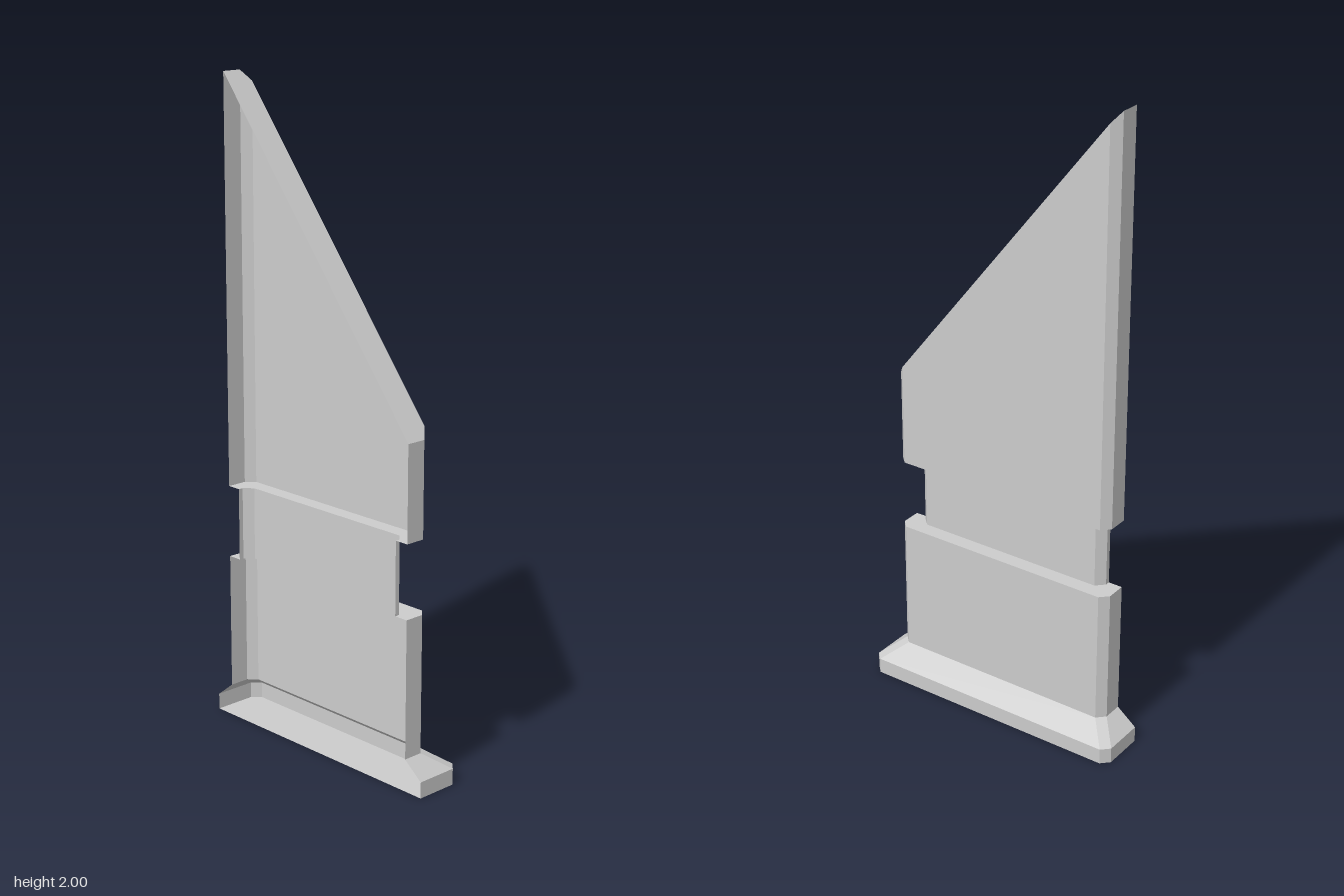
import * as THREE from 'three';

const BACK = -0.08; // x of the open side
const CHAMFER = 0.025;
const material = new THREE.MeshStandardMaterial({ color: 0xcccccc, flatShading: true, side: THREE.DoubleSide });

// Open outline with two chamfered corners, running from front to back round the +x side
function outline(outerX, halfZ, height) {
  const c = CHAMFER;
  return [
    [BACK, halfZ], [outerX - c, halfZ], [outerX, halfZ - c],
    [outerX, -halfZ + c], [outerX - c, -halfZ], [BACK, -halfZ],
  ].map(([x, z]) => new THREE.Vector3(x, typeof height === 'function' ? height(z) : height, z));
}

function meshFrom(name, triangles) {
  const geometry = new THREE.BufferGeometry().setFromPoints(triangles);
  geometry.computeVertexNormals();
  const mesh = new THREE.Mesh(geometry, material);
  mesh.name = name;
  return mesh;
}

// Wall skinned between successive outlines
function wall(name, rings) {
  const tris = [];
  for (let r = 0; r < rings.length - 1; r++) {
    const low = rings[r], high = rings[r + 1];
    for (let i = 0; i < low.length - 1; i++) {
      tris.push(low[i], low[i + 1], high[i + 1], low[i], high[i + 1], high[i]);
    }
  }
  return meshFrom(name, tris);
}

// Flat cap filling an outline
function cap(name, ring, faceUp) {
  const tris = [];
  for (let i = 1; i < ring.length - 1; i++) {
    tris.push(ring[0], ...(faceUp ? [ring[i], ring[i + 1]] : [ring[i + 1], ring[i]]));
  }
  return meshFrom(name, tris);
}

export function createModel() {
  const group = new THREE.Group();
  group.name = 'slantedPanel';

  const base = (y) => outline(0.078, 0.443, y);
  const body = (y) => outline(0.008, 0.38, y);
  const neck = (y) => outline(-0.04, 0.335, y);
  const slope = (z) => 1.04 + (0.38 - z) * (0.96 / 0.76);

  // Flared foot
  group.add(cap('floor', base(0), false));
  group.add(wall('foot', [base(0), base(0.05), body(0.1)]));

  // Lower body, recessed band with its two ledges, upper body
  group.add(wall('lowerBody', [body(0.1), body(0.525)]));
  group.add(wall('recessedBand', [body(0.525), neck(0.525), neck(0.75), body(0.75)]));
  group.add(wall('upperBody', [body(0.75), body(slope)]));

  // Slanted top
  group.add(cap('slantedTop', body(slope), true));
  return group;
}
